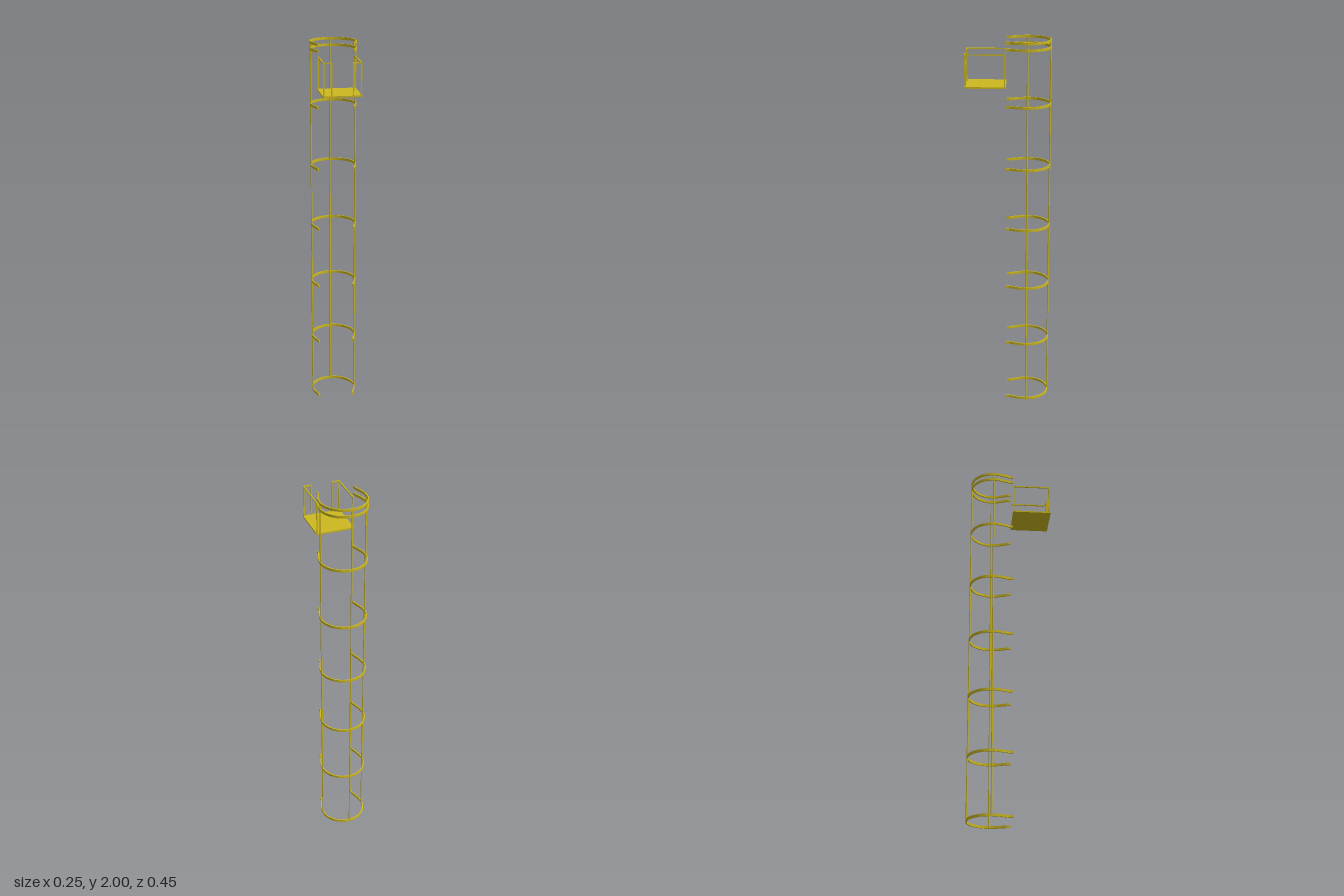
import * as THREE from 'three';

const paint = new THREE.MeshStandardMaterial({ color: 0xccb820 });

// Centreline of a cage hoop in plan (x, z): round back, sides drawn in to short straight ends
function hoopLine() {
  const side = new THREE.CubicBezierCurve(
    new THREE.Vector2(0.12, -0.1), new THREE.Vector2(0.12, -0.065),
    new THREE.Vector2(0.106, -0.035), new THREE.Vector2(0.096, -0.008));
  const right = [new THREE.Vector2(0.095, 0.01), ...side.getPoints(10).reverse()];
  const left = right.map(p => new THREE.Vector2(-p.x, p.y)).reverse();
  const back = [];
  for (let i = 1; i < 40; i++) {
    const a = Math.PI * i / 40;
    back.push(new THREE.Vector2(0.12 * Math.cos(a), -0.1 - 0.12 * Math.sin(a)));
  }
  return [...right, ...back, ...left];
}

// Flat bar following a plan line, extruded upwards
function flatBar(line, thickness, height) {
  const offset = d => line.map((p, i) => {
    const t = line[Math.min(i + 1, line.length - 1)].clone().sub(line[Math.max(i - 1, 0)]).normalize();
    // shape y is -z so that the extrusion stands up after rotation
    return new THREE.Vector2(p.x - t.y * d, -(p.y + t.x * d));
  });
  const shape = new THREE.Shape([...offset(thickness / 2), ...offset(-thickness / 2).reverse()]);
  const geo = new THREE.ExtrudeGeometry(shape, { depth: height, bevelEnabled: false });
  return geo.rotateX(-Math.PI / 2);
}

function add(parent, name, geo, x, y, z) {
  const mesh = new THREE.Mesh(geo, paint);
  mesh.name = name;
  mesh.position.set(x, y, z);
  parent.add(mesh);
}

export function createModel() {
  const model = new THREE.Group();
  model.name = 'ladderSafetyCage';

  // Hoops, with a close pair at the top
  const hoopHeight = 0.013;
  const hoopGeo = flatBar(hoopLine(), 0.006, hoopHeight);
  [0.0065, 0.34, 0.672, 1.003, 1.335, 1.666, 1.959, 1.9935].forEach(y =>
    add(model, 'hoop', hoopGeo, 0, y - hoopHeight / 2, 0));

  // Vertical bars
  const barGeo = new THREE.CylinderGeometry(0.004, 0.004, 1.996, 8);
  [[-0.119, -0.1], [0.119, -0.1], [0, -0.219]].forEach(([x, z]) =>
    add(model, 'verticalBar', barGeo, x, 1, z));

  // Landing platform
  const landing = new THREE.Group();
  landing.name = 'landing';
  model.add(landing);
  add(landing, 'platform', new THREE.BoxGeometry(0.2, 0.008, 0.212), 0, 1.766, 0.1165);

  // Guard rails on both sides, returning part way across the front
  const s = 0.006, base = 1.77, top = 1.936;
  const postGeo = new THREE.BoxGeometry(s, top - base, s);
  const sideGeo = new THREE.BoxGeometry(s, s, 0.207);
  const returnGeo = new THREE.BoxGeometry(0.046, s, s);
  for (const m of [-1, 1]) {
    [[0.095, 0.0165], [0.095, 0.2175], [0.055, 0.2175]].forEach(([x, z]) =>
      add(landing, 'railPost', postGeo, m * x, (base + top) / 2, z));
    add(landing, 'sideRail', sideGeo, m * 0.095, top - s / 2, 0.117);
    add(landing, 'frontRail', returnGeo, m * 0.075, top - s / 2, 0.2175);
  }
  return model;
}
